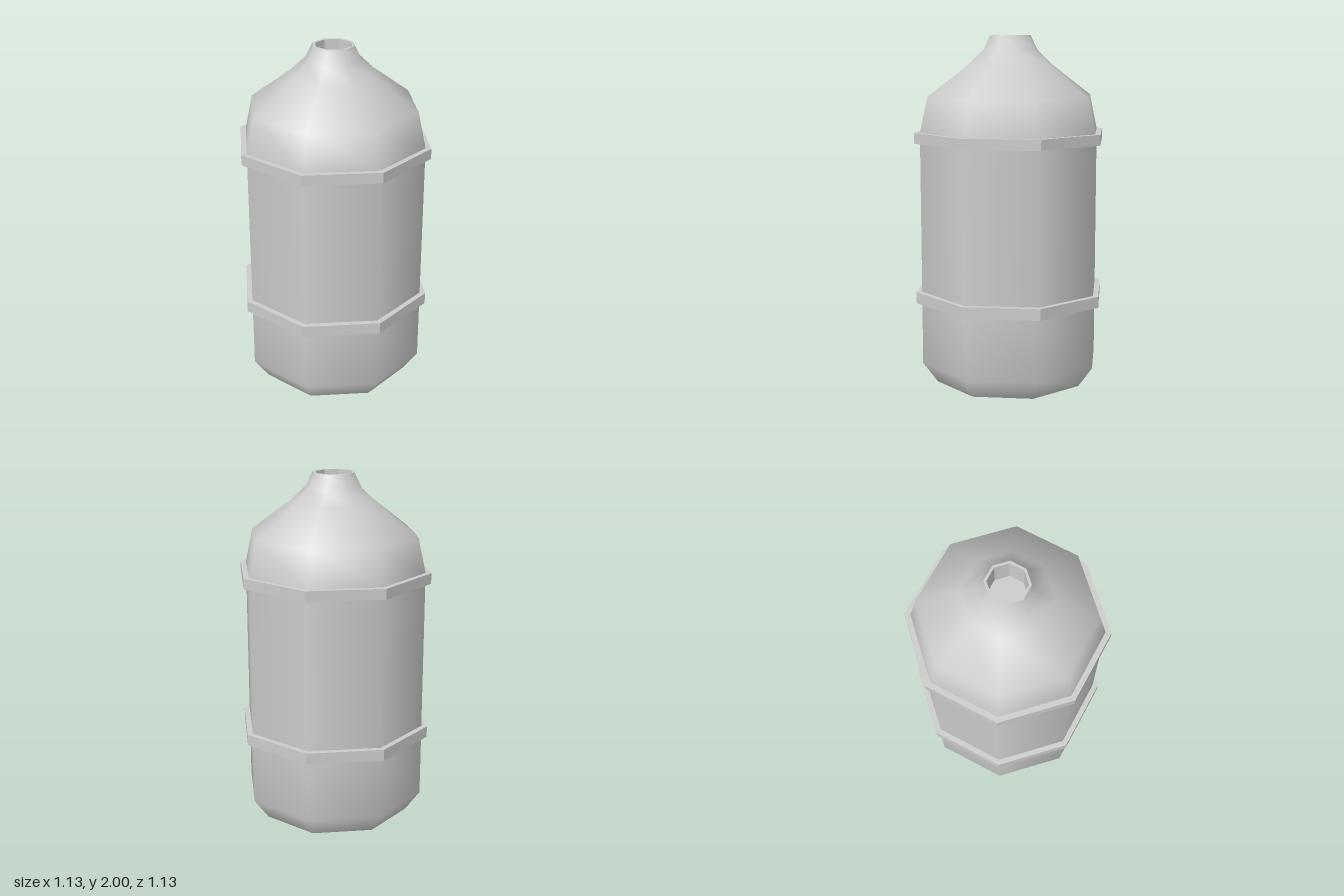
import * as THREE from 'three';

const SIDES = 8;

// Octagonal lathe with corners on the x and z axes
function turned(name, profile, flat) {
  const points = profile.map(([r, y]) => new THREE.Vector2(r, y));
  const material = new THREE.MeshStandardMaterial({ color: 0xcccccc, flatShading: flat });
  const mesh = new THREE.Mesh(new THREE.LatheGeometry(points, SIDES), material);
  mesh.name = name;
  return mesh;
}

export function createModel() {
  const group = new THREE.Group();
  group.name = 'tank';

  // Smooth shell: chamfered foot, straight wall, domed shoulder and neck
  group.add(turned('body', [[0.445, 0], [0.53, 0.12], [0.53, 0.48], [0.53, 0.545], [0.53, 1.4], [0.53, 1.43]], false));
  group.add(turned('shoulder', [[0.53, 1.43], [0.53, 1.46], [0.485, 1.66], [0.25, 1.835], [0.16, 1.92], [0.12, 2]], false));

  // Flat underside
  group.add(turned('base', [[0, 0], [0.445, 0]], true));

  // Rim and recessed opening of the neck
  group.add(turned('neckOpening', [[0.12, 2], [0.105, 2], [0.105, 1.85], [0, 1.85]], true));

  // Two raised bands around the wall
  for (const [name, y0, y1] of [['lowerBand', 0.48, 0.545], ['upperBand', 1.4, 1.46]]) {
    group.add(turned(name, [[0.525, y0], [0.563, y0], [0.563, y1], [0.525, y1]], true));
  }
  return group;
}
